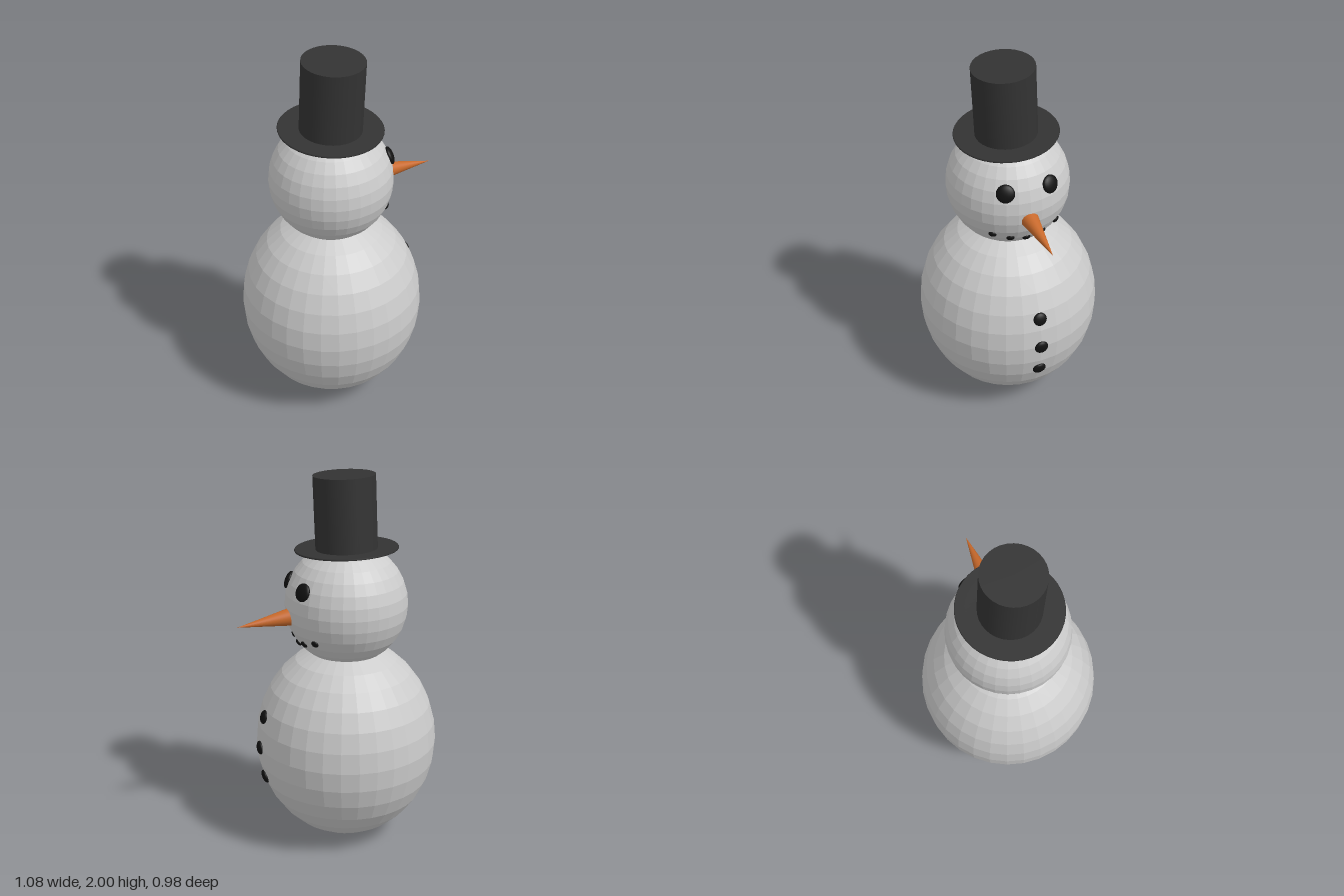
import * as THREE from 'three';

const CX = -0.055; // shared vertical axis of body, head and hat
const HEAD = { c: new THREE.Vector3(CX, 1.315, 0), r: new THREE.Vector3(0.325, 0.325, 0.325) };
const BODY = { c: new THREE.Vector3(CX, 0.55, 0), r: new THREE.Vector3(0.488, 0.55, 0.488) };

const snow = new THREE.MeshStandardMaterial({ color: 0xcccccc, flatShading: true });
const felt = new THREE.MeshStandardMaterial({ color: 0x333333 });
const coal = new THREE.MeshStandardMaterial({ color: 0x111111 });
const carrot = new THREE.MeshStandardMaterial({ color: 0xc8692b });

export function createModel() {
  const model = new THREE.Group();
  model.name = 'snowman';

  const add = (name, geometry, material, parent = model) => {
    const mesh = new THREE.Mesh(geometry, material);
    mesh.name = name;
    parent.add(mesh);
    return mesh;
  };

  // Snowballs
  const ball = (name, { c, r }) => {
    const mesh = add(name, new THREE.SphereGeometry(1, 32, 16), snow);
    mesh.position.copy(c);
    mesh.scale.copy(r);
  };
  ball('body', BODY);
  ball('head', HEAD);

  // Flattened coal lump lying on the +x side of a snowball
  const lump = (name, { c, r }, y, z, height, width, depth) => {
    const dy = (y - c.y) / r.y, dz = (z - c.z) / r.z;
    const dx = Math.sqrt(1 - dy * dy - dz * dz);
    const mesh = add(name, new THREE.SphereGeometry(1, 20, 12), coal);
    mesh.position.set(c.x + dx * r.x, y, z);
    mesh.scale.set(width, height, depth);
    mesh.lookAt(mesh.position.clone().add(new THREE.Vector3(dx / r.x, dy / r.y, dz / r.z)));
  };

  // Eyes, mouth and buttons
  lump('leftEye', HEAD, 1.435, -0.12, 0.048, 0.048, 0.02);
  lump('rightEye', HEAD, 1.435, 0.12, 0.048, 0.048, 0.02);
  [[-0.175, 1.17], [-0.087, 1.142], [0, 1.125], [0.087, 1.142], [0.175, 1.17]]
    .forEach(([z, y], i) => lump(`mouthCoal${i + 1}`, HEAD, y, z, 0.02, 0.021, 0.011));
  [0.725, 0.55, 0.375]
    .forEach((y, i) => lump(`button${i + 1}`, BODY, y, 0, 0.037, 0.037, 0.017));

  // Carrot nose, from its base to its tip
  const base = new THREE.Vector3(0.258, 1.27, 0.002);
  const axis = new THREE.Vector3(0.54, 1.245, -0.004).sub(base);
  const nose = add('carrotNose', new THREE.ConeGeometry(0.046, axis.length(), 32), carrot);
  nose.position.copy(base).addScaledVector(axis, 0.5);
  nose.quaternion.setFromUnitVectors(new THREE.Vector3(0, 1, 0), axis.normalize());

  // Tilted top hat
  const hat = new THREE.Group();
  hat.name = 'topHat';
  hat.position.set(-0.058, 1.605, 0.006);
  hat.rotation.set(0.05, 0, -0.02);
  model.add(hat);
  add('hatCrown', new THREE.CylinderGeometry(0.162, 0.162, 0.387, 32), felt, hat).position.y = 0.1935;

  // Brim with a slightly upturned rim
  const brimProfile = [[0, -0.006], [0.22, -0.006], [0.27, 0.001], [0.272, 0.006],
    [0.268, 0.011], [0.22, 0.005], [0, 0.005]].map(([x, y]) => new THREE.Vector2(x, y));
  add('hatBrim', new THREE.LatheGeometry(brimProfile, 40), felt, hat);

  return model;
}
